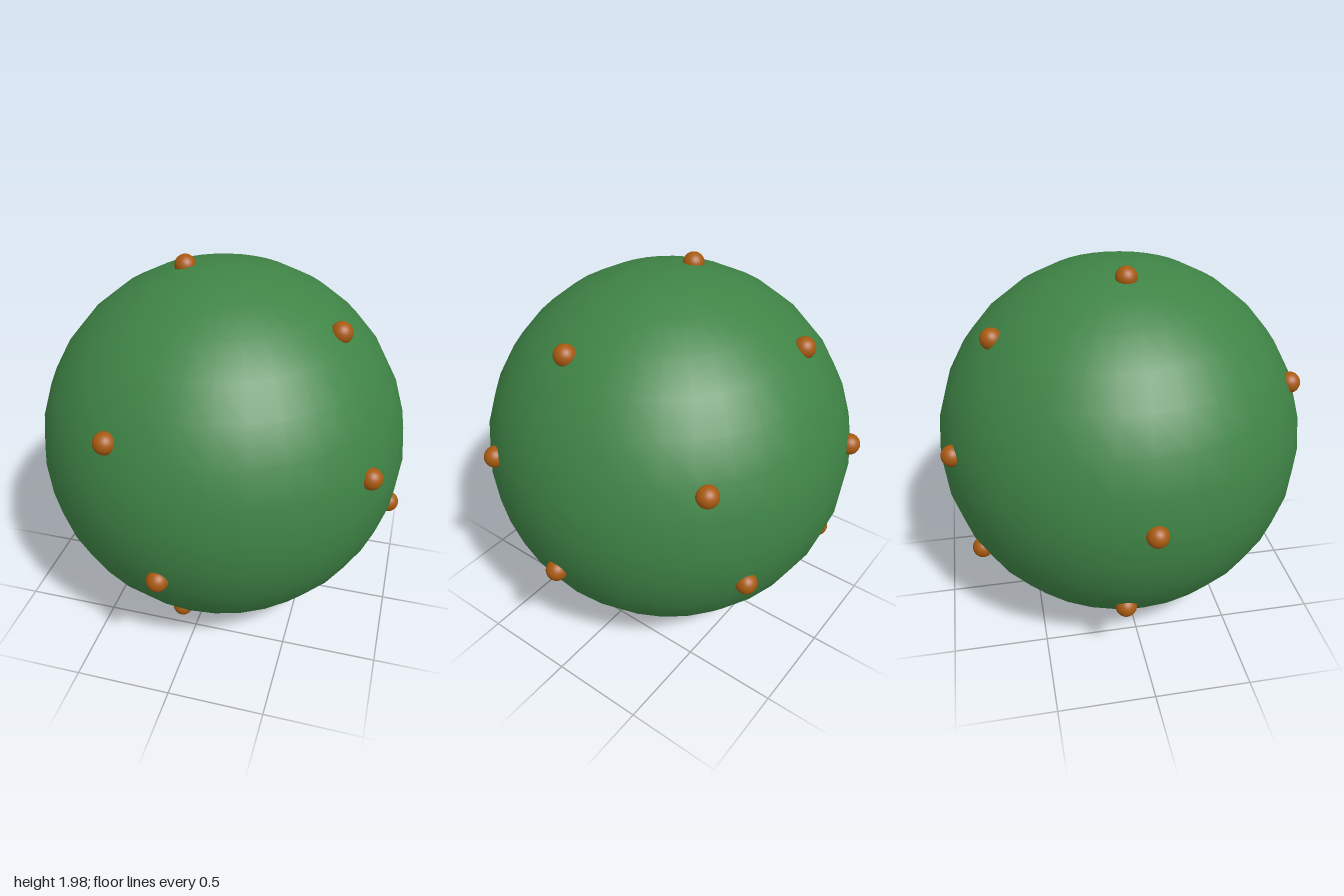
import * as THREE from 'three';

const RADIUS = 0.972;
const KNOB_RADIUS = 0.055;
const CENTRE = new THREE.Vector3(0.025, 0.983, 0);

// Directions from the ball's centre to each knob
const KNOB_DIRECTIONS = [
  [-0.20, 0.95, 0], [-0.20, 0.69, -0.66], [0.61, 0.74, 0.135],
  [-0.34, 0.39, 0.83], [0.62, 0.32, -0.675], [0.84, 0.16, 0.453],
  [-0.34, 0.144, -0.90], [-0.97, 0, 0], [0.47, -0.25, -0.816],
  [0.93, -0.284, 0], [-0.08, -0.289, 0.924], [-0.32, -0.454, -0.796],
  [-0.77, -0.58, -0.105], [-0.08, -0.797, 0.55], [-0.06, -0.925, -0.285],
];

export function createModel() {
  const green = new THREE.MeshStandardMaterial({ color: 0x3f8446 });
  green.name = 'leaf green';
  const orange = new THREE.MeshStandardMaterial({ color: 0xa85a10 });
  orange.name = 'burnt orange';

  const model = new THREE.Group();
  model.name = 'knobbedBall';

  // Large ball
  const ball = new THREE.Mesh(new THREE.SphereGeometry(RADIUS, 32, 16), green);
  ball.name = 'ball';
  ball.position.copy(CENTRE);
  model.add(ball);

  // Small round knobs, half sunk into the surface
  const knobs = new THREE.Group();
  knobs.name = 'knobs';
  const knobGeometry = new THREE.SphereGeometry(KNOB_RADIUS, 24, 16);
  KNOB_DIRECTIONS.forEach((direction, i) => {
    const knob = new THREE.Mesh(knobGeometry, orange);
    knob.name = `knob${i + 1}`;
    knob.position.fromArray(direction).setLength(RADIUS - 0.002).add(CENTRE);
    knobs.add(knob);
  });
  model.add(knobs);

  return model;
}
